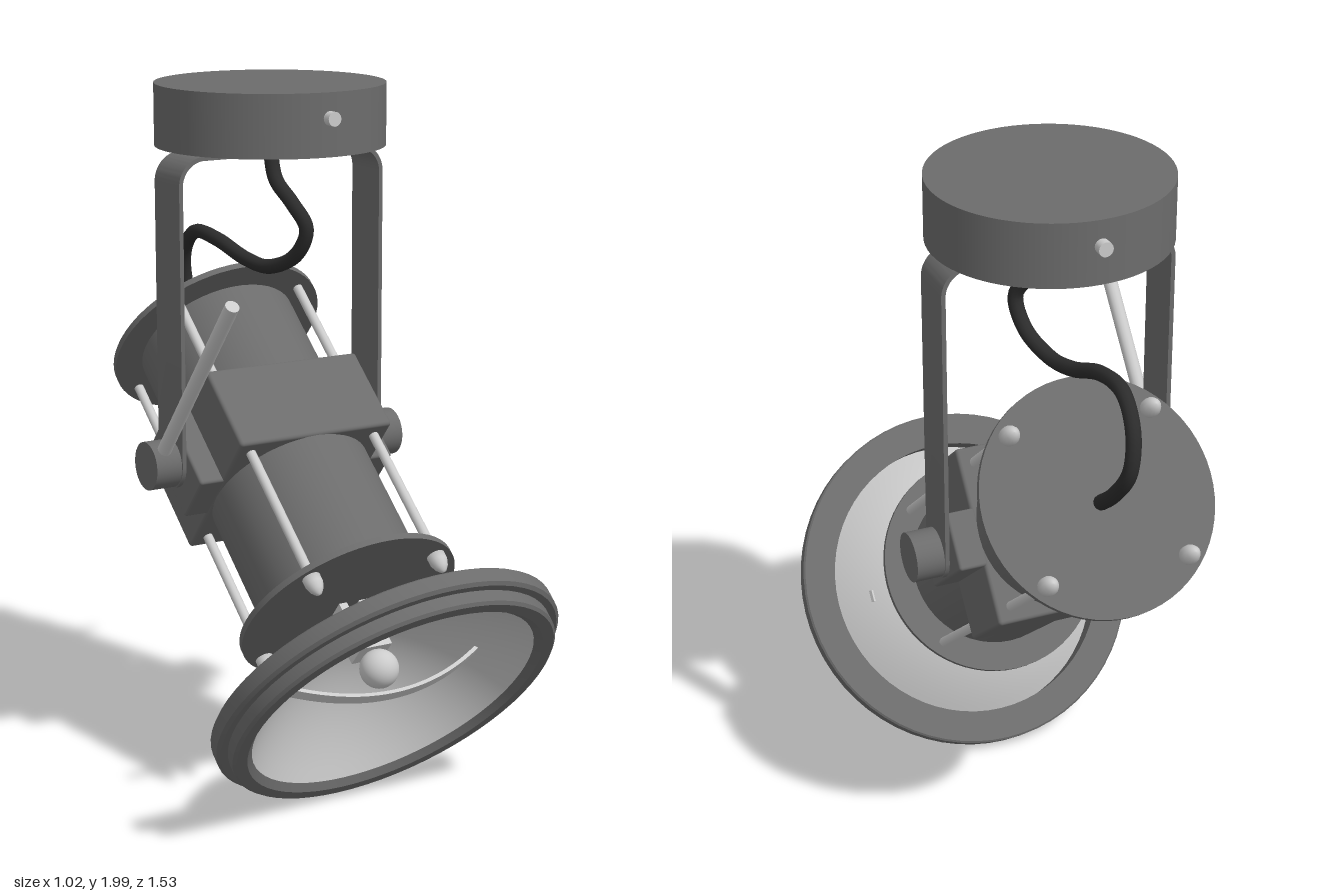
import * as THREE from 'three';
import { toCreasedNormals } from 'three/addons/utils/BufferGeometryUtils.js';
import { RoundedBoxGeometry } from 'three/addons/geometries/RoundedBoxGeometry.js';

const PIVOT = new THREE.Vector3(0, 0.945, -0.22);
const TILT = THREE.MathUtils.degToRad(40);

export function createModel() {
  const model = new THREE.Group();
  const dark = new THREE.MeshStandardMaterial({ color: 0x6c6c6c });
  const black = new THREE.MeshStandardMaterial({ color: 0x2c2c2c });
  const light = new THREE.MeshStandardMaterial({ color: 0xcccccc });
  const lightThin = new THREE.MeshStandardMaterial({ color: 0xcccccc, side: THREE.DoubleSide });

  function add(parent, name, geometry, material, x = 0, y = 0, z = 0) {
    const mesh = new THREE.Mesh(geometry, material);
    mesh.name = name;
    mesh.position.set(x, y, z);
    parent.add(mesh);
    return mesh;
  }
  // Cylinders lying along x or z
  const cylX = (r, len, n = 32) => new THREE.CylinderGeometry(r, r, len, n).rotateZ(Math.PI / 2);
  const cylZ = (r, len, n = 32) => new THREE.CylinderGeometry(r, r, len, n).rotateX(Math.PI / 2);
  // Profile of [radius, z] pairs turned about z
  const turned = (pts, n = 64) =>
    new THREE.LatheGeometry(pts.map(([r, z]) => new THREE.Vector2(r, z)), n).rotateX(Math.PI / 2);

  // Ceiling canopy with its two screws and cord outlet
  add(model, 'canopy', new THREE.CylinderGeometry(0.325, 0.325, 0.175, 64), dark, 0, 1.9125, PIVOT.z);
  for (const s of [-1, 1])
    add(model, 'canopyScrew', cylZ(0.02, 0.05, 16), light, 0, 1.93, PIVOT.z + s * 0.325);
  add(model, 'cordOutlet', new THREE.CylinderGeometry(0.036, 0.036, 0.04, 24), light, 0, 1.81, PIVOT.z);

  // U-shaped bracket with rounded corners and ends
  const W = 0.328, T = 0.012, TOP = 1.815, R = 0.08;
  const u = new THREE.Shape();
  u.moveTo(W, PIVOT.y);
  u.lineTo(W, TOP - R);
  u.absarc(W - R, TOP - R, R, 0, Math.PI / 2, false);
  u.lineTo(-W + R, TOP);
  u.absarc(-W + R, TOP - R, R, Math.PI / 2, Math.PI, false);
  u.lineTo(-W, PIVOT.y);
  u.lineTo(-W + T, PIVOT.y);
  u.lineTo(-W + T, TOP - R);
  u.absarc(-W + R, TOP - R, R - T, Math.PI, Math.PI / 2, true);
  u.lineTo(W - R, TOP - T);
  u.absarc(W - R, TOP - R, R - T, Math.PI / 2, 0, true);
  u.lineTo(W - T, PIVOT.y);
  const uGeo = new THREE.ExtrudeGeometry(u, { depth: 0.145, bevelEnabled: false, curveSegments: 10 });
  add(model, 'bracket', toCreasedNormals(uGeo, 0.6), dark, 0, 0, PIVOT.z - 0.0725);
  for (const s of [-1, 1])
    add(model, 'bracketEnd', cylX(0.0725, T), dark, s * (W - T / 2), PIVOT.y, PIVOT.z);

  // Power cord looping from the canopy to the rear plate
  const cord = new THREE.CatmullRomCurve3([
    [0, 1.81, -0.22], [0, 1.73, -0.19], [0.015, 1.67, -0.125], [0.04, 1.6, -0.088],
    [0.03, 1.52, -0.13], [0, 1.475, -0.23], [-0.02, 1.485, -0.33], [-0.045, 1.525, -0.45],
    [-0.05, 1.53, -0.58], [-0.04, 1.46, -0.665], [-0.025, 1.36, -0.685], [-0.01, 1.27, -0.63],
    [0, 1.2, -0.55],
  ].map((p) => new THREE.Vector3(...p)));
  add(model, 'cord', new THREE.TubeGeometry(cord, 96, 0.021, 12), black);

  // Tilted lamp: local z points along the beam, origin at the pivot
  const lamp = new THREE.Group();
  lamp.name = 'lamp';
  lamp.position.copy(PIVOT);
  lamp.rotation.x = TILT;
  model.add(lamp);

  add(lamp, 'barrel', cylZ(0.24, 0.97, 48), dark, 0, 0, 0.065);
  add(lamp, 'rearPlate', cylZ(0.323, 0.018, 64), dark, 0, 0, -0.425);
  add(lamp, 'frontPlate', cylZ(0.323, 0.018, 64), dark, 0, 0, 0.555);
  add(lamp, 'housing', new RoundedBoxGeometry(0.49, 0.49, 0.265, 2, 0.01), dark, 0, 0, 0.007);

  // Side plates, pivot knobs and aiming lever
  for (const s of [-1, 1]) {
    add(lamp, 'sidePlate', new RoundedBoxGeometry(0.08, 0.16, 0.265, 2, 0.008), dark, s * 0.275, 0, 0.005);
    add(lamp, 'knob', cylX(0.069, 0.095), dark, s * 0.3585, 0, 0);
  }
  add(lamp, 'lever', new THREE.CylinderGeometry(0.02, 0.02, 0.64, 16), light, -0.37, 0.37, 0);

  // Four tie rods with acorn nuts at both ends
  const nut = [[0, 0], [0.026, 0], [0.026, 0.022], [0.019, 0.042], [0.009, 0.055], [0, 0.058]];
  for (const x of [-0.2, 0.2]) for (const y of [-0.2, 0.2]) {
    add(lamp, 'tieRod', cylZ(0.014, 0.98, 12), light, x, y, 0.065);
    add(lamp, 'frontNut', turned(nut, 16), light, x, y, 0.563);
    add(lamp, 'rearNut', turned(nut, 16), light, x, y, -0.433).rotation.y = Math.PI;
  }

  // Dished reflector
  const bowl = [];
  for (let i = 0; i <= 14; i++) {
    const r = 0.03 + (0.39 * i) / 14;
    bowl.push([r, 0.645 + 0.14 * (r / 0.33) ** 2]);
  }
  add(lamp, 'reflector', turned(bowl), lightThin);

  // Stepped rim around the reflector
  const rim = [[0.415, 0.795], [0.505, 0.795], [0.51, 0.8], [0.51, 0.84], [0.5, 0.848], [0.48, 0.848],
    [0.48, 0.882], [0.472, 0.89], [0.44, 0.89], [0.42, 0.872], [0.415, 0.795]];
  add(lamp, 'rim', toCreasedNormals(turned(rim), 0.5), dark);

  // Socket, contact prongs and bulb
  add(lamp, 'socket', new THREE.BoxGeometry(0.1, 0.075, 0.13), light, 0, 0, 0.655);
  for (const s of [-1, 1])
    add(lamp, 'prong', new THREE.BoxGeometry(0.025, 0.06, 0.08), light, s * 0.032, 0, 0.59);
  add(lamp, 'bulb', new THREE.SphereGeometry(0.055, 32, 20), light, 0, 0, 0.77);

  // Bowed strip across the reflector in front of the bulb
  const strip = new THREE.Shape();
  strip.moveTo(-0.32, 0.775);
  strip.quadraticCurveTo(0, 0.945, 0.32, 0.775);
  strip.lineTo(0.315, 0.765);
  strip.quadraticCurveTo(0, 0.935, -0.315, 0.765);
  const stripGeo = new THREE.ExtrudeGeometry(strip, { depth: 0.035, bevelEnabled: false, curveSegments: 24 });
  stripGeo.rotateX(Math.PI / 2);
  add(lamp, 'glareStrip', toCreasedNormals(stripGeo, 0.5), lightThin, 0, 0.0175, 0);

  return model;
}
